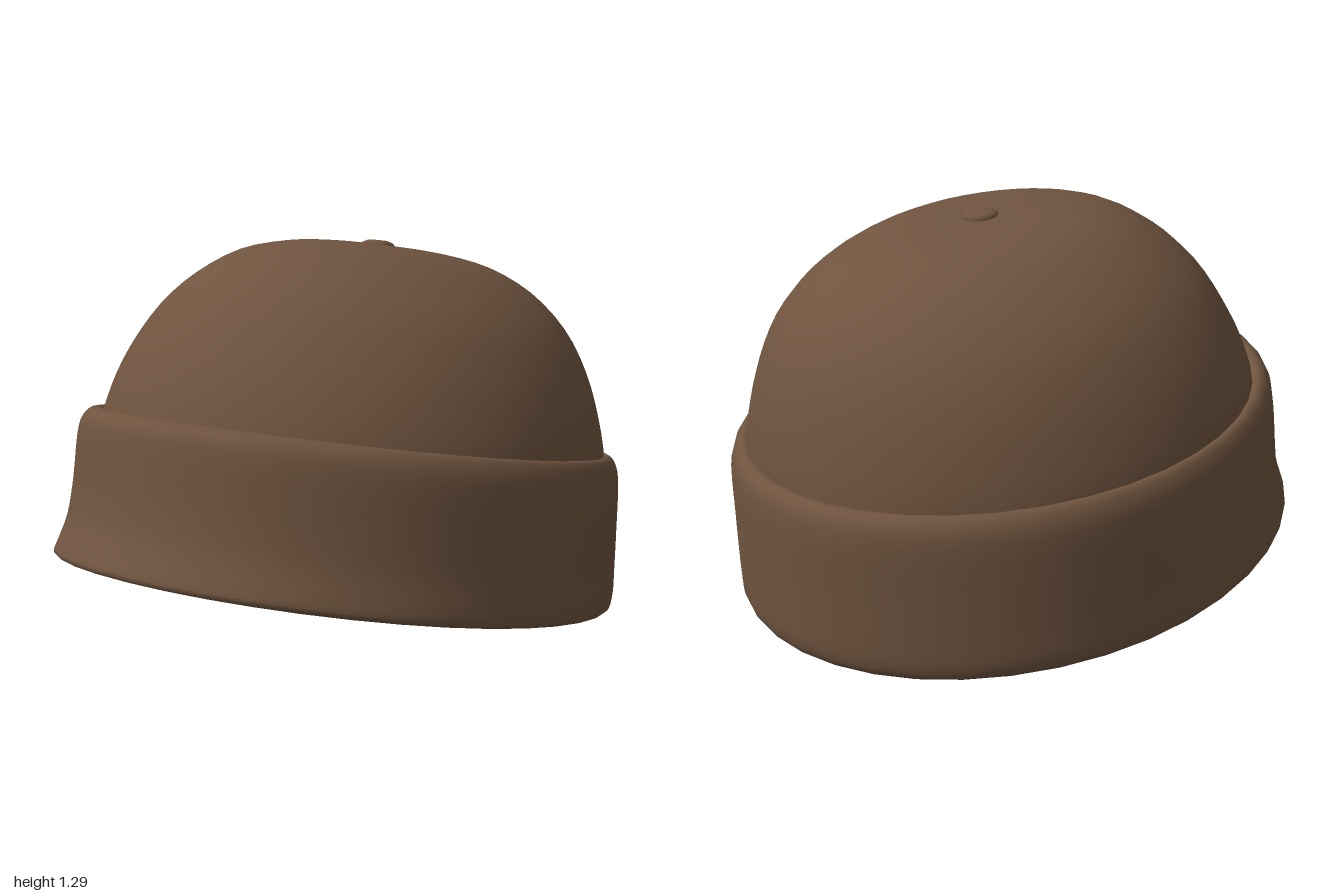
import * as THREE from 'three';

const SEGMENTS = 40;
const SAG = 0.024;

// Each ring is a tilted ellipse: [front z, front y, back z, back y, half width],
// sagging a little at the sides. Rings run from top to bottom.
function loft(name, rings, steps, material) {
  const front = new THREE.CatmullRomCurve3(rings.map(r => new THREE.Vector3(r[0], r[1], r[4])), false, 'catmullrom', 0.5);
  const back = new THREE.CatmullRomCurve3(rings.map(r => new THREE.Vector3(r[2], r[3], r[4])), false, 'catmullrom', 0.5);
  const rows = (rings.length - 1) * steps;
  const positions = [], index = [];
  for (let i = 0; i <= rows; i++) {
    const f = front.getPoint(i / rows), b = back.getPoint(i / rows);
    for (let j = 0; j < SEGMENTS; j++) {
      const a = (j / SEGMENTS) * Math.PI * 2;
      const k = (1 + Math.cos(a)) / 2;
      const x = f.z * Math.sin(a);
      positions.push(x, b.y + (f.y - b.y) * k - SAG * x * x, b.x + (f.x - b.x) * k);
      if (i < rows) {
        const n = (j + 1) % SEGMENTS, p = i * SEGMENTS, q = p + SEGMENTS;
        index.push(p + j, q + j, q + n, p + j, q + n, p + n);
      }
    }
  }
  const geometry = new THREE.BufferGeometry();
  geometry.setAttribute('position', new THREE.Float32BufferAttribute(positions, 3));
  geometry.setIndex(index);
  geometry.computeVertexNormals();
  const mesh = new THREE.Mesh(geometry, material);
  mesh.name = name;
  return mesh;
}

export function createModel() {
  const group = new THREE.Group();
  group.name = 'cuffedCap';
  const brown = new THREE.MeshStandardMaterial({ color: 0x6f543f, side: THREE.DoubleSide });
  brown.name = 'brown cloth';

  // Thin crown, from the apex down inside the cuff to its lower lip
  const innerLip = [0.865, 0.36, -0.89, 0.07, 0.79];
  group.add(loft('crown', [
    [-0.10, 1.275, -0.10, 1.275, 0.001],
    [0.05, 1.288, -0.25, 1.25, 0.12],
    [0.18, 1.29, -0.40, 1.225, 0.25],
    [0.34, 1.265, -0.56, 1.18, 0.385],
    [0.49, 1.192, -0.71, 1.095, 0.52],
    [0.61, 1.09, -0.82, 0.97, 0.642],
    [0.715, 0.95, -0.885, 0.83, 0.73],
    [0.78, 0.82, -0.922, 0.67, 0.788],
    [0.815, 0.70, -0.938, 0.50, 0.82],
    [0.835, 0.54, -0.92, 0.28, 0.81],
    innerLip,
  ], 3, brown));

  // Folded cuff with rounded top and bottom edges
  group.add(loft('cuff', [
    [0.79, 0.745, -0.92, 0.52, 0.79],
    [0.83, 0.772, -0.952, 0.532, 0.822],
    [0.878, 0.75, -0.985, 0.508, 0.846],
    [0.899, 0.69, -0.998, 0.44, 0.864],
    [0.917, 0.55, -0.99, 0.27, 0.870],
    [0.942, 0.435, -0.984, 0.13, 0.873],
    [0.98, 0.355, -0.978, 0.05, 0.879],
    [0.999, 0.313, -0.96, 0.012, 0.875],
    [0.96, 0.297, -0.93, 0.003, 0.848],
    [0.90, 0.313, -0.90, 0.02, 0.81],
    innerLip,
  ], 3, brown));

  // Small flat button on the crown, leaning back with the cloth
  const profile = [[0, 0.018], [0.035, 0.016], [0.052, 0.009], [0.06, 0], [0.058, -0.02]]
    .map(p => new THREE.Vector2(p[0], p[1])).reverse();
  const button = new THREE.Mesh(new THREE.LatheGeometry(profile, 20), brown);
  button.name = 'button';
  button.position.set(0, 1.266, -0.165);
  button.rotation.x = -0.12;
  group.add(button);

  return group;
}
